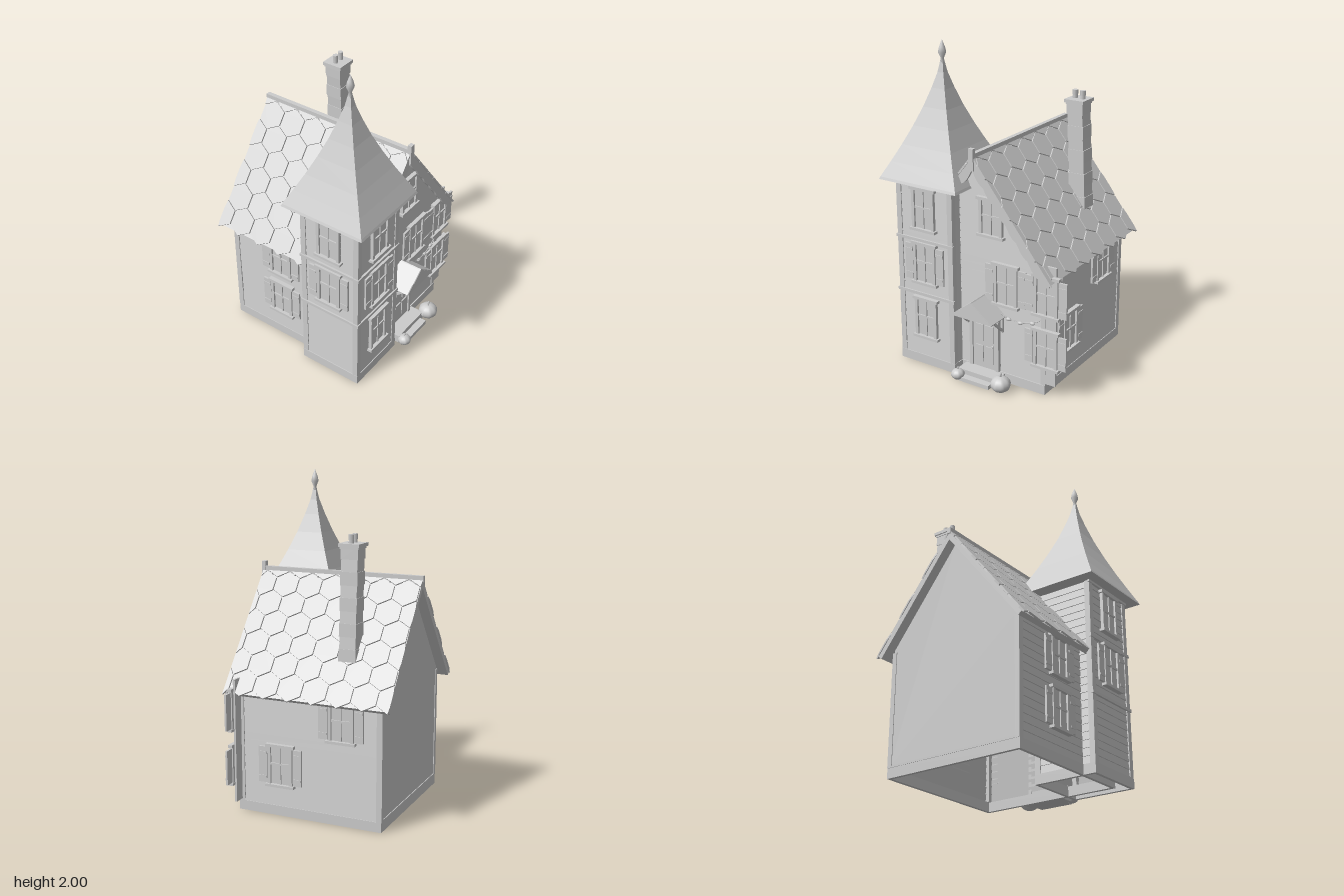
import * as THREE from 'three';
import { mergeGeometries } from 'three/addons/utils/BufferGeometryUtils.js';

// Double sided because the walls are open shells seen from below
const clay = new THREE.MeshStandardMaterial({ color: 0xcccccc, side: THREE.DoubleSide });
clay.name = 'clay grey';

function add(parent, name, geo, x = 0, y = 0, z = 0) {
  const m = new THREE.Mesh(geo, clay);
  m.name = name;
  m.position.set(x, y, z);
  parent.add(m);
  return m;
}
const box = (parent, name, w, h, d, x, y, z) => add(parent, name, new THREE.BoxGeometry(w, h, d), x, y, z);
function group(parent, name, x = 0, y = 0, z = 0, ry = 0) {
  const g = new THREE.Group();
  g.name = name;
  g.position.set(x, y, z);
  g.rotation.y = ry;
  parent.add(g);
  return g;
}
const shape = (pts) => new THREE.Shape(pts.map((p) => new THREE.Vector2(...p)));
const extrude = (pts, depth) => new THREE.ExtrudeGeometry(shape(pts), { depth, bevelEnabled: false });

// Lapped boards facing +z between the edges left(y) and right(y)
function siding(y0, y1, left, right) {
  const pos = [], n = Math.round((y1 - y0) / 0.048), h = (y1 - y0) / n, out = 0.006;
  const quad = (a, b, c, d) => pos.push(...a, ...b, ...c, ...a, ...c, ...d);
  for (let i = 0; i < n; i++) {
    const a = y0 + i * h, b = a + h;
    const A = [left(a), a, out], B = [right(a), a, out];
    quad(A, B, [right(b), b, 0], [left(b), b, 0]);
    quad([left(a), a, 0], [right(a), a, 0], B, A);
  }
  const g = new THREE.BufferGeometry();
  g.setAttribute('position', new THREE.Float32BufferAttribute(pos, 3));
  g.computeVertexNormals();
  return g;
}

// Sash window with sill, cap and optional shutters, facing +z
function addWindow(parent, x, y, z, ry = 0, shutters = [], h = 0.22) {
  const g = group(parent, 'window', x, y, z, ry), w = 0.15;
  box(g, 'windowPane', w, h, 0.008, 0, 0, 0.006);
  for (const s of [-1, 1]) box(g, 'windowJamb', 0.02, h, 0.02, s * (w / 2 - 0.005), 0, 0.012);
  box(g, 'windowCap', w + 0.035, 0.018, 0.028, 0, h / 2 + 0.008, 0.014);
  box(g, 'windowSill', w + 0.035, 0.016, 0.032, 0, -h / 2 - 0.006, 0.016);
  box(g, 'windowMullion', 0.01, h, 0.014, 0, 0, 0.01);
  box(g, 'windowRail', w, 0.012, 0.016, 0, 0.01, 0.01);
  for (const s of shutters) {
    box(g, 'shutter', 0.055, h - 0.01, 0.012, s * 0.112, 0, 0.012);
    for (const k of [-1, 1]) box(g, 'shutterBatten', 0.05, 0.014, 0.006, s * 0.112, k * h * 0.32, 0.019);
  }
}

function foundation(parent, x0, x1, z0, z1) {
  const s = shape([[x0, -z1], [x1, -z1], [x1, -z0], [x0, -z0]]), t = 0.02;
  s.holes.push(shape([[x0 + t, -z1 + t], [x0 + t, -z0 - t], [x1 - t, -z0 - t], [x1 - t, -z1 + t]]));
  const m = add(parent, 'foundation', new THREE.ExtrudeGeometry(s, { depth: 0.06, bevelEnabled: false }));
  m.rotation.x = -Math.PI / 2;
}

// Main roof: slope runs from the ridge down to the eave
const RIDGE = 1.395, RUN = 0.52, DROP = 0.66, LEN = Math.hypot(RUN, DROP);
const slopeY = (x) => RIDGE - (Math.abs(x) * DROP) / RUN;

function addRoofSide(parent, side) {
  const c = RUN / LEN, s = DROP / LEN;
  const g = group(parent, side > 0 ? 'rightRoof' : 'leftRoof');
  g.quaternion.setFromRotationMatrix(new THREE.Matrix4().makeBasis(
    new THREE.Vector3(0, 0, side), new THREE.Vector3(side * c, -s, 0), new THREE.Vector3(side * s, c, 0)));
  g.position.y = RIDGE;
  const slab = (z0, z1, len) =>
    box(g, 'roofSlab', z1 - z0, len, 0.03, (side * (z0 + z1)) / 2, len / 2, -0.015);
  if (side > 0) slab(-0.57, 0.465, LEN);
  else {
    slab(-0.57, 0.1, LEN);
    slab(0.1, 0.465, 0.24);
  }
  // Hexagonal shingles, trimmed at the ridge and gable edges
  const tiles = [], pitch = 0.155, row = pitch * 0.866, r = pitch / Math.sqrt(3) - 0.004;
  for (let j = 0; j < 7; j++) {
    for (let i = 0; i < 9; i++) {
      const z = -0.57 + (i + (j % 2) / 2) * pitch, v = LEN - 0.07 - j * row;
      if (side < 0 && z > 0.06 && v > 0.22) continue;
      if (z - pitch / 2 > 0.44) continue;
      const pts = [];
      for (let k = 0; k < 6; k++) {
        const a = Math.PI / 6 + (k * Math.PI) / 3;
        const zz = THREE.MathUtils.clamp(z + r * Math.cos(a), -0.575, 0.47);
        pts.push([side * zz, Math.max(0, v + r * Math.sin(a))]);
      }
      tiles.push(extrude(pts, 0.011));
    }
  }
  add(g, 'shingles', mergeGeometries(tiles));
}

// Scalloped board below the gable edge, cut level at the eave
function bargeboard(parent, x0, x1, z, scallop) {
  const top = [], low = [], n = 40;
  for (let i = 0; i <= n; i++) {
    const x = x0 + ((x1 - x0) * i) / n;
    top.push([x, slopeY(x) - 0.005]);
    low.unshift([x, Math.max(0.72, slopeY(x) - 0.07 - scallop * Math.abs(Math.sin(x * 42)))]);
  }
  add(parent, 'bargeboard', extrude([...top, ...low], 0.014), 0, 0, z);
}

function addHouse(root) {
  const g = group(root, 'house'), H = 0.45, half = (y) => Math.min(H, ((1.35 - y) * RUN) / DROP);
  foundation(g, -0.46, 0.46, -0.51, 0.41);
  add(g, 'frontWall', siding(0.06, 1.34, (y) => Math.max(-0.14, -half(y)), half), 0, 0, 0.397);
  add(g, 'rightWall', siding(0.06, 0.78, () => -0.4, () => 0.5), H, 0, 0).rotation.y = Math.PI / 2;
  add(g, 'leftWall', siding(0.06, 0.78, () => -0.5, () => 0.1), -H, 0, 0).rotation.y = -Math.PI / 2;
  const back = add(g, 'backWall', new THREE.ShapeGeometry(
    shape([[-H, 0.06], [H, 0.06], [H, 0.778], [0, 1.35], [-H, 0.778]])), 0, 0, -0.508);
  back.rotation.y = Math.PI;
  for (const [x, z] of [[0.445, 0.39], [0.445, -0.495], [-0.445, -0.495]])
    box(g, 'cornerBoard', 0.03, 0.7, 0.035, x, 0.41, z);
  box(g, 'backTrim', 0.88, 0.012, 0.01, 0, 0.066, -0.508);
  addRoofSide(g, 1);
  addRoofSide(g, -1);
  bargeboard(g, 0, 0.515, 0.452, 0.018);
  bargeboard(g, -0.13, 0, 0.452, 0.018);
  box(g, 'ridgeBeam', 0.028, 0.035, 1.055, 0, 1.402, -0.05);
  box(g, 'ridgePost', 0.032, 0.13, 0.025, 0, 1.385, 0.465);

  addWindow(g, 0.19, 0.635, 0.4, 0, [-1, 1], 0.24);
  addWindow(g, 0.09, 1.035, 0.4, 0, [], 0.21);
  addWindow(g, 0.465, 0.635, 0.4, 0, [-1, 1], 0.23);
  addWindow(g, 0.465, 0.3, 0.4, 0, [-1, 1]);
  box(g, 'cornerPanel', 0.08, 0.75, 0.014, 0.487, 0.445, 0.397);
  addWindow(g, H + 0.003, 0.31, 0.13, Math.PI / 2, [-1, 1], 0.23);
  addWindow(g, H + 0.003, 0.62, -0.26, Math.PI / 2, [-1, 1]);
  for (const y of [0.31, 0.62]) addWindow(g, -H - 0.003, y, -0.14, -Math.PI / 2, [-1, 1]);
}

function addTower(root) {
  const g = group(root, 'tower', -0.335, 0, 0.285), R = 0.2;
  foundation(g, -R - 0.005, R + 0.005, -R - 0.005, R + 0.005);
  for (let k = 0; k < 4; k++) {
    const f = group(g, 'towerFace', 0, 0, 0, (k * Math.PI) / 2);
    add(f, 'towerWall', siding(0.06, 1.19, () => -R, () => R), 0, 0, R - 0.006);
    // Only the faces clear of the house carry windows
    if (k === 0 || k === 3) {
      if (k === 0) addWindow(f, 0, 0.32, R - 0.003, 0, [], 0.24);
      addWindow(f, 0, 0.68, R - 0.003, 0, [-1, 1], 0.24);
      addWindow(f, 0, 1.025, R - 0.003, 0, [], 0.24);
      for (const y of [0.475, 0.825, 1.18]) box(f, 'towerBand', 2 * R + 0.02, 0.018, 0.014, 0, y, R + 0.003);
    }
    box(f, 'towerCorner', 0.035, 1.13, 0.035, R - 0.014, 0.625, R - 0.014);
  }
  // Flared four-sided roof
  const profile = [[0.278, 1.185], [0.272, 1.2], [0.226, 1.29], [0.177, 1.39], [0.128, 1.5], [0.084, 1.61],
    [0.047, 1.72], [0.021, 1.81], [0.008, 1.88]];
  const flat = new THREE.LatheGeometry(
    [[0, 1.185], ...profile].map(([r, y]) => new THREE.Vector2(r * Math.SQRT2, y)), 4, Math.PI / 4).toNonIndexed();
  flat.computeVertexNormals();
  add(g, 'towerRoof', flat, 0.005, 0, -0.006);
  const finial = [[0.008, 1.86], [0.013, 1.875], [0.009, 1.89], [0.024, 1.925], [0.018, 1.955], [0, 2]];
  add(g, 'finial', new THREE.LatheGeometry(finial.map((p) => new THREE.Vector2(...p)), 8), 0.005, 0, -0.006);
}

function addChimney(root) {
  const g = group(root, 'chimney', 0, 0, -0.25);
  // Leaning stack of slightly uneven courses
  const n = 9, y0 = 0.95, h = (1.61 - y0) / n;
  for (let i = 0; i < n; i++) {
    const t = i / (n - 1), w = 0.107 - 0.007 * (i % 2);
    const b = box(g, 'chimneyCourse', w, h + 0.004, w, 0.308 - 0.03 * t, y0 + (i + 0.5) * h, 0);
    b.rotation.z = 0.09 * (i % 2 ? 0.9 : 0.2);
  }
  box(g, 'chimneyCap', 0.13, 0.02, 0.13, 0.278, 1.615, 0);
  box(g, 'chimneyCrown', 0.115, 0.014, 0.115, 0.278, 1.6, 0);
  for (const x of [0.252, 0.304]) {
    add(g, 'chimneyPot', new THREE.CylinderGeometry(0.014, 0.016, 0.05, 6), x, 1.645, 0);
    add(g, 'chimneyPotRim', new THREE.CylinderGeometry(0.017, 0.017, 0.03, 6), x, 1.66, 0);
  }
}

function addPorch(root) {
  const g = group(root, 'porch', 0.04, 0, 0.4);
  box(g, 'step', 0.28, 0.055, 0.1, 0, 0.0275, 0.05);
  box(g, 'lowerStep', 0.22, 0.025, 0.05, 0, 0.0125, 0.12);
  box(g, 'door', 0.17, 0.33, 0.014, 0, 0.225, 0.008);
  for (const s of [-1, 1]) {
    box(g, 'doorJamb', 0.022, 0.34, 0.026, s * 0.093, 0.23, 0.012);
    for (const y of [0.15, 0.29]) box(g, 'doorPanel', 0.055, 0.11, 0.008, s * 0.036, y, 0.017);
    // Canopy half with its diagonal brace
    const roof = box(g, 'canopyRoof', 0.175, 0.014, 0.15, s * 0.07, 0.482, 0.075);
    roof.rotation.z = -s * 0.66;
    box(g, 'canopyPost', 0.014, 0.1, 0.016, s * 0.125, 0.38, 0.012);
    const brace = box(g, 'canopyBrace', 0.014, 0.014, 0.14, s * 0.125, 0.385, 0.06);
    brace.rotation.x = -0.75;
  }
  box(g, 'doorLintel', 0.22, 0.022, 0.03, 0, 0.405, 0.014);
  add(g, 'doorKnob', new THREE.SphereGeometry(0.008, 8, 6), 0.06, 0.215, 0.02);
  add(g, 'canopyGable', extrude([[-0.138, 0.43], [0.138, 0.43], [0, 0.54]], 0.012), 0, 0, 0.14);
}

// Ribbed pumpkin with a stem
function addPumpkin(root, x, z, r) {
  const g = group(root, 'pumpkin', x, 0, z);
  const geo = new THREE.SphereGeometry(r, 32, 14), p = geo.attributes.position;
  for (let i = 0; i < p.count; i++) {
    const k = 1 - 0.05 * Math.abs(Math.sin(4 * Math.atan2(p.getZ(i), p.getX(i))));
    p.setXYZ(i, p.getX(i) * k, p.getY(i) * 0.8, p.getZ(i) * k);
  }
  geo.computeVertexNormals();
  add(g, 'pumpkinBody', geo, 0, r * 0.8, 0);
  add(g, 'pumpkinStem', new THREE.CylinderGeometry(r * 0.08, r * 0.15, r * 0.45, 6), 0, r * 1.75, 0).rotation.z = -0.25;
}

function addGarland(root) {
  const g = group(root, 'garland');
  const curve = new THREE.QuadraticBezierCurve3(
    new THREE.Vector3(0.17, 0.46, 0.43), new THREE.Vector3(0.29, 0.4, 0.42), new THREE.Vector3(0.43, 0.475, 0.41));
  add(g, 'garlandCord', new THREE.TubeGeometry(curve, 16, 0.003, 5));
  for (const t of [0.2, 0.5, 0.8]) {
    const p = curve.getPoint(t);
    add(g, 'garlandBead', new THREE.SphereGeometry(0.011, 8, 6), p.x, p.y - 0.006, p.z).scale.x = 1.6;
  }
}

export function createModel() {
  const root = new THREE.Group();
  root.name = 'towerHouse';
  addHouse(root);
  addTower(root);
  addChimney(root);
  addPorch(root);
  addPumpkin(root, 0.22, 0.515, 0.062);
  addPumpkin(root, -0.08, 0.53, 0.042);
  addGarland(root);
  return root;
}
